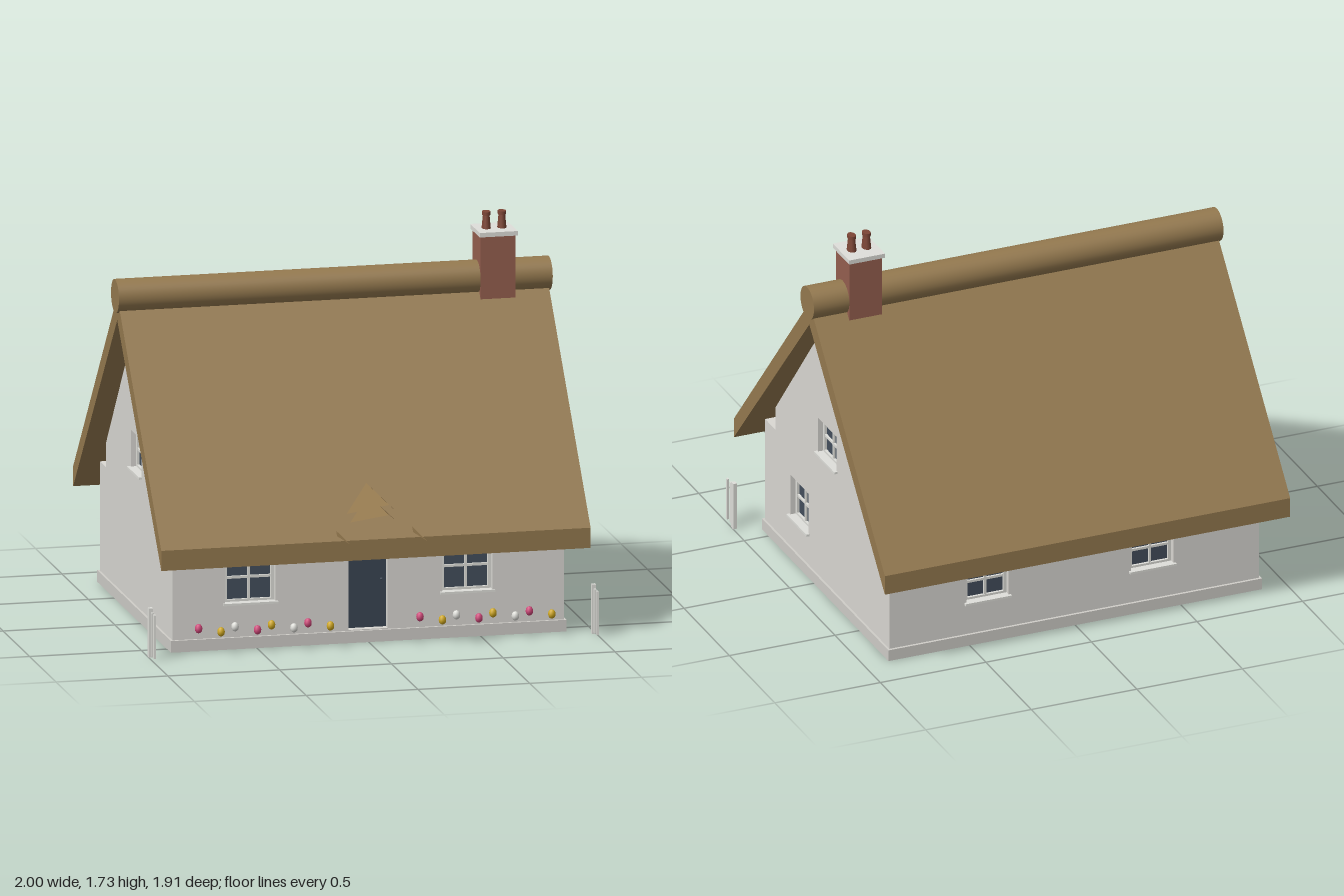
import * as THREE from 'three';

const mat = (name, color, side = THREE.FrontSide) => {
  const m = new THREE.MeshStandardMaterial({ color, side });
  m.name = name;
  return m;
};

export function createModel() {
  const model = new THREE.Group();
  model.name = 'thatchedCottage';
  const M = {
    wall: mat('limewash', 0xdad8d3),
    plinth: mat('plinthStone', 0xcfcdc8),
    trim: mat('whitePaint', 0xdfdfda),
    thatch: mat('thatch', 0x94794f, THREE.DoubleSide),
    brick: mat('brick', 0x955f4f),
    pot: mat('terracotta', 0x7d4636),
    glass: mat('glass', 0x434e5c),
    door: mat('doorPaint', 0x394553),
    pink: mat('pinkPetals', 0xd0487a),
    yellow: mat('yellowPetals', 0xd0a820),
  };
  const CZ = -0.125, T = 0.05, RECESS = 0.04;

  const add = (parent, name, geo, material, x = 0, y = 0, z = 0) => {
    const mesh = new THREE.Mesh(geo, material);
    mesh.name = name;
    mesh.position.set(x, y, z);
    parent.add(mesh);
    return mesh;
  };
  const box = (parent, name, w, h, d, material, x, y, z) =>
    add(parent, name, new THREE.BoxGeometry(w, h, d), material, x, y, z);
  const polygon = (pts) => new THREE.Shape(pts.map(([x, y]) => new THREE.Vector2(x, y)));
  const extrude = (shape, depth) => new THREE.ExtrudeGeometry(shape, { depth, bevelEnabled: false });

  // Recessed window: glass, frame, glazing bars and a sill
  function addWindow(parent, { x, y, w, h }) {
    const g = new THREE.Group();
    g.name = 'window';
    g.position.set(x, y + h / 2, 0);
    parent.add(g);
    const f = 0.015, z = -RECESS + 0.008;
    box(g, 'pane', w, h, 0.008, M.glass, 0, 0, -RECESS);
    for (const s of [-1, 1]) {
      box(g, 'frameSide', f, h, 0.016, M.trim, s * (w - f) / 2, 0, z);
      box(g, 'frameRail', w, f, 0.016, M.trim, 0, s * (h - f) / 2, z);
    }
    box(g, 'glazingBarUpright', 0.011, h, 0.012, M.trim, 0, 0, z);
    box(g, 'glazingBarCross', w, 0.011, 0.012, M.trim, 0, 0, z);
    box(g, 'sill', w + 0.02, 0.01, RECESS + 0.015, M.trim, 0, -h / 2, -RECESS / 2 + 0.0075);
  }

  // Wall panel facing its own +z, with openings cut through
  function addWall(name, outline, windows, position, turn, door) {
    const g = new THREE.Group();
    g.name = name;
    g.position.set(...position);
    g.rotation.y = turn;
    model.add(g);
    const shape = polygon(outline);
    for (const { x, y, w, h } of door ? [...windows, door] : windows) {
      const a = x - w / 2, b = x + w / 2;
      shape.holes.push(new THREE.Path(
        [[a, y], [a, y + h], [b, y + h], [b, y]].map((p) => new THREE.Vector2(...p))));
    }
    add(g, name + 'Panel', extrude(shape, T), M.wall, 0, 0, -T);
    windows.forEach((win) => addWindow(g, win));
    return g;
  }

  // Plinth and walls
  box(model, 'plinth', 1.77, 0.052, 1.395, M.plinth, 0, 0.026, CZ);
  const longWall = [[-0.825, 0.05], [0.825, 0.05], [0.825, 0.54], [-0.825, 0.54]];
  const gable = [[-0.685, 0.05], [0.685, 0.05], [0.685, 0.54], [0.57, 0.54], [0.57, 0.65],
    [0, 1.33], [-0.57, 0.65], [-0.57, 0.54], [-0.685, 0.54]];
  const doorway = { x: 0, y: 0.056, w: 0.175, h: 0.39 };
  const front = addWall('frontWall', longWall, [
    { x: -0.527, y: 0.2, w: 0.225, h: 0.225 },
    { x: 0.443, y: 0.2, w: 0.225, h: 0.225 },
  ], [0, 0, 0.56], 0, doorway);
  addWall('backWall', longWall, [
    { x: -0.41, y: 0.2, w: 0.2, h: 0.18 },
    { x: 0.37, y: 0.2, w: 0.2, h: 0.18 },
  ], [0, 0, -0.81], Math.PI);
  const loftWindow = { x: 0, y: 0.645, w: 0.205, h: 0.17 };
  addWall('leftGable', gable, [loftWindow, { x: -0.305, y: 0.2, w: 0.2, h: 0.197 }],
    [0.875, 0, CZ], Math.PI / 2);
  addWall('rightGable', gable, [loftWindow], [-0.875, 0, CZ], -Math.PI / 2);

  // Wall head and loft between the gables
  box(model, 'wallHead', 1.65, 0.02, 1.36, M.wall, 0, 0.529, CZ);
  const loft = add(model, 'loft', extrude(polygon(
    [[-0.57, 0.53], [0.57, 0.53], [0.57, 0.65], [0, 1.33], [-0.57, 0.65]]), 1.65), M.wall, -0.825, 0, CZ);
  loft.rotation.y = Math.PI / 2;

  // Front door set back in its opening
  box(front, 'door', doorway.w, doorway.h, 0.01, M.door, 0, doorway.y + doorway.h / 2, -RECESS);
  add(front, 'doorKnob', new THREE.SphereGeometry(0.006, 8, 6), M.glass, 0.067, 0.27, -RECESS + 0.008);

  // Thatched roof with upright eaves and a round ridge roll
  const roof = add(model, 'thatchRoof', extrude(polygon(
    [[-0.8325, 0.4], [0, 1.332], [0.8325, 0.4], [0.8325, 0.49], [0, 1.438], [-0.8325, 0.49]]), 1.92),
  M.thatch, -0.96, 0, CZ);
  roof.rotation.y = Math.PI / 2;
  const ridge = add(model, 'ridgeRoll', new THREE.CylinderGeometry(0.075, 0.075, 1.94, 32), M.thatch, 0, 1.44, CZ);
  ridge.rotation.z = Math.PI / 2;

  // Pointed thatch canopy above the door: three thin blades on each side
  const F = 0.955, B = 0.44, E = 0.17;
  for (const s of [-1, 1]) {
    const geo = new THREE.BufferGeometry();
    const blades = [
      [0, 0.7, F], [s * E, 0.53, B], [0, 0.7, B],
      [0, 0.655, F], [0, 0.655, B], [s * E, 0.49, B],
      [s * E, 0.53, F], [s * E, 0.49, B], [s * E, 0.53, B],
    ];
    if (s < 0) for (let i = 0; i < 9; i += 3) [blades[i + 1], blades[i + 2]] = [blades[i + 2], blades[i + 1]];
    geo.setAttribute('position', new THREE.Float32BufferAttribute(blades.flat(), 3));
    geo.computeVertexNormals();
    add(model, 'doorCanopy', geo, M.thatch);
  }

  // Chimney with cap and two oval pots
  const chimney = new THREE.Group();
  chimney.name = 'chimney';
  chimney.position.set(0.725, 0, CZ);
  model.add(chimney);
  box(chimney, 'stack', 0.155, 0.28, 0.15, M.brick, 0, 1.495, 0);
  box(chimney, 'cap', 0.17, 0.02, 0.18, M.trim, 0, 1.645, 0);
  for (const s of [-1, 1]) {
    const pot = add(chimney, 'pot', new THREE.CylinderGeometry(0.02, 0.028, 0.06, 12), M.pot, s * 0.035, 1.685, 0);
    const rim = add(chimney, 'potRim', new THREE.CylinderGeometry(0.025, 0.025, 0.016, 12), M.pot, s * 0.035, 1.722, 0);
    pot.scale.x = rim.scale.x = 0.72;
  }

  // Two flower beds, planted in alternating rows
  const petals = [M.pink, M.yellow, M.trim];
  for (const start of [-0.77, 0.22]) {
    for (let i = 0; i < 8; i++) {
      const flower = add(model, 'flower', new THREE.IcosahedronGeometry(0.017, 1), petals[i % 3],
        start + i * 0.0815, 0.11, i % 2 ? 0.69 : 0.61);
      flower.scale.y = 1.25;
    }
  }

  // Short picket fences at both front corners
  for (const s of [-1, 1]) {
    box(model, 'fencePost', 0.018, 0.22, 0.024, M.trim, s * 0.991, 0.11, 0.632);
    for (const z of [0.666, 0.707]) box(model, 'picket', 0.01, 0.195, 0.015, M.trim, s * 0.99, 0.108, z);
  }
  return model;
}
